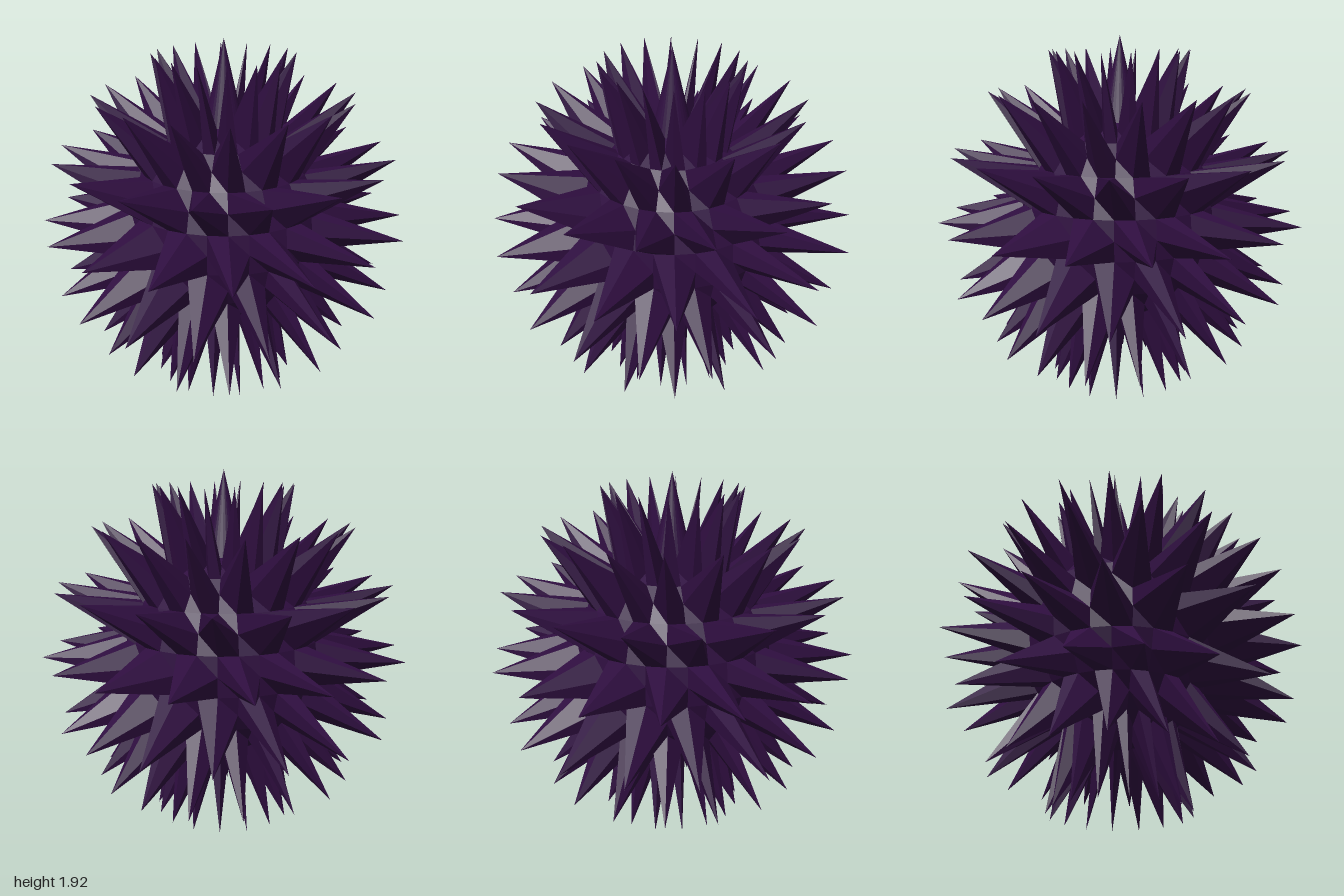
import * as THREE from 'three';

const COLS = 32, ROWS = 16;       // sphere grid, 11.25 degrees per step
const CORE = 0.55, TIP = 1.0;     // valley and spike-tip radius
const CENTRE_Y = 0.925;

// Spikes sit on every second row and column; some rows are shifted by one column
const SHIFTED_ROWS = [6, 10, 14];

function isTip(row, col) {
  if (row === 0) return true;                       // upright top spike
  if (row === ROWS || row % 2 === 1) return false;  // valleys and the plain underside pole
  return col % 2 === (SHIFTED_ROWS.includes(row) ? 1 : 0);
}

export function createModel() {
  const group = new THREE.Group();
  group.name = 'spikyBall';

  const purple = new THREE.MeshStandardMaterial({ color: 0x2f0e40, flatShading: true });
  purple.name = 'dark purple';

  // Pull the chosen grid points of a sphere outwards into spikes
  const geometry = new THREE.SphereGeometry(CORE, COLS, ROWS);
  const pos = geometry.attributes.position;
  const v = new THREE.Vector3();
  for (let row = 0; row <= ROWS; row++) {
    for (let col = 0; col <= COLS; col++) {
      if (!isTip(row, col)) continue;
      const i = row * (COLS + 1) + col;
      v.fromBufferAttribute(pos, i).setLength(TIP);
      pos.setXYZ(i, v.x, v.y, v.z);
    }
  }
  geometry.computeVertexNormals();

  const body = new THREE.Mesh(geometry, purple);
  body.name = 'spikedShell';
  body.position.y = CENTRE_Y;
  group.add(body);
  return group;
}
